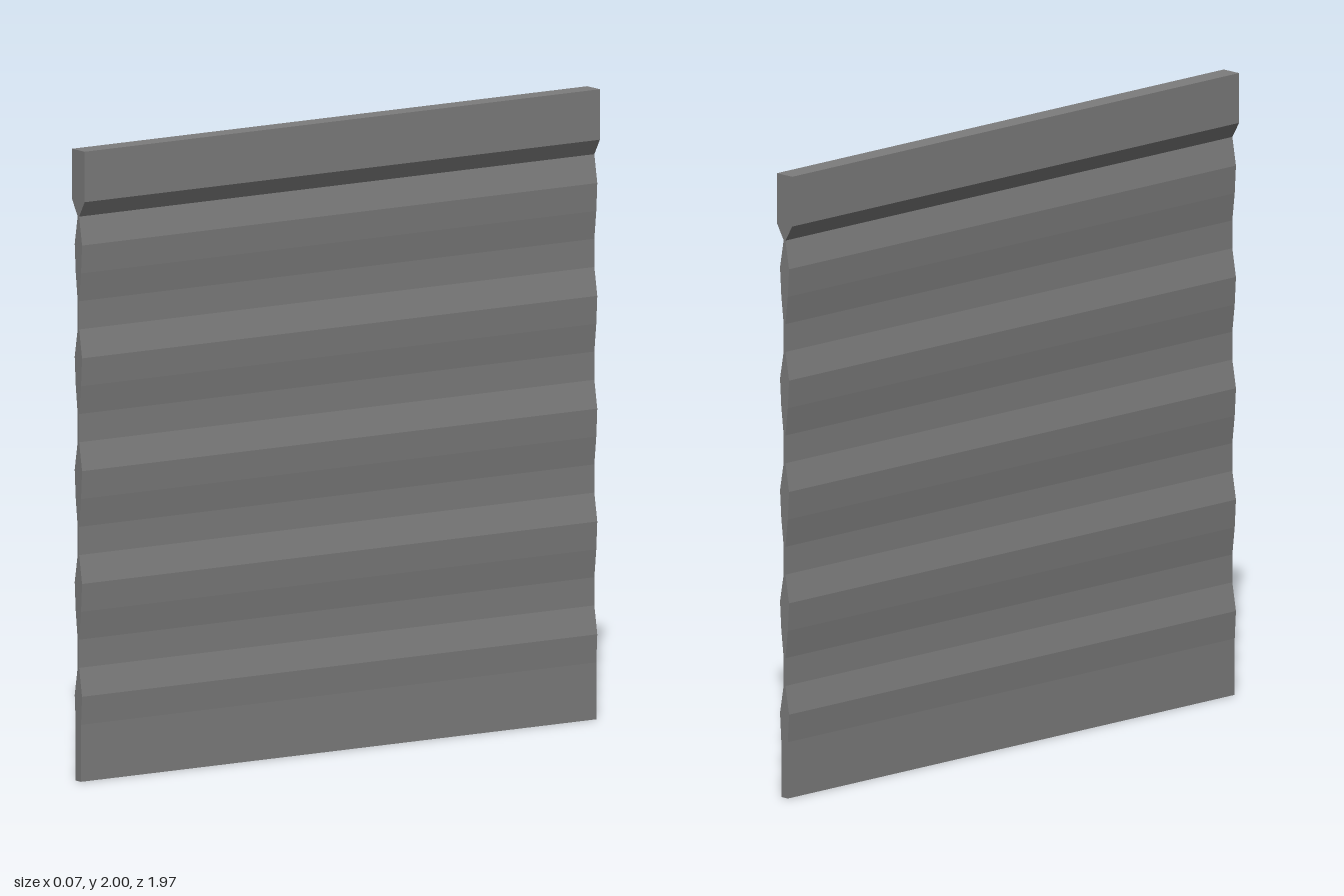
import * as THREE from 'three';

const LENGTH = 1.966;

// Extrude a profile of [halfWidth, y] pairs, mirrored in x, along z
function slab(name, profile) {
  const right = profile.map(([x, y]) => new THREE.Vector2(x, y));
  const left = profile.map(([x, y]) => new THREE.Vector2(-x, y)).reverse();
  const geometry = new THREE.ExtrudeGeometry(new THREE.Shape([...right, ...left]), {
    depth: LENGTH, bevelEnabled: false,
  });
  geometry.translate(0, 0, -LENGTH / 2);
  const mesh = new THREE.Mesh(
    geometry,
    new THREE.MeshStandardMaterial({ color: 0x7d7d7d, flatShading: true }),
  );
  mesh.name = name;
  return mesh;
}

export function createModel() {
  const group = new THREE.Group();
  group.name = 'corrugatedPanel';

  // Top rail with a tapered underside
  group.add(slab('topRail', [[0.004, 1.79], [0.034, 1.84], [0.034, 2]]));

  // Rippled sheet: five bulges, the lowest running straight to the foot
  const step = 0.0894;
  const ripple = [0.004, 0.02, 0.0145, 0.004];
  const profile = [];
  for (let i = 0; i <= 18; i++) profile.push([ripple[i % 4], 1.79 - i * step]);
  profile.push([0.0145, 0]);
  group.add(slab('rippledSheet', profile.reverse()));

  return group;
}
